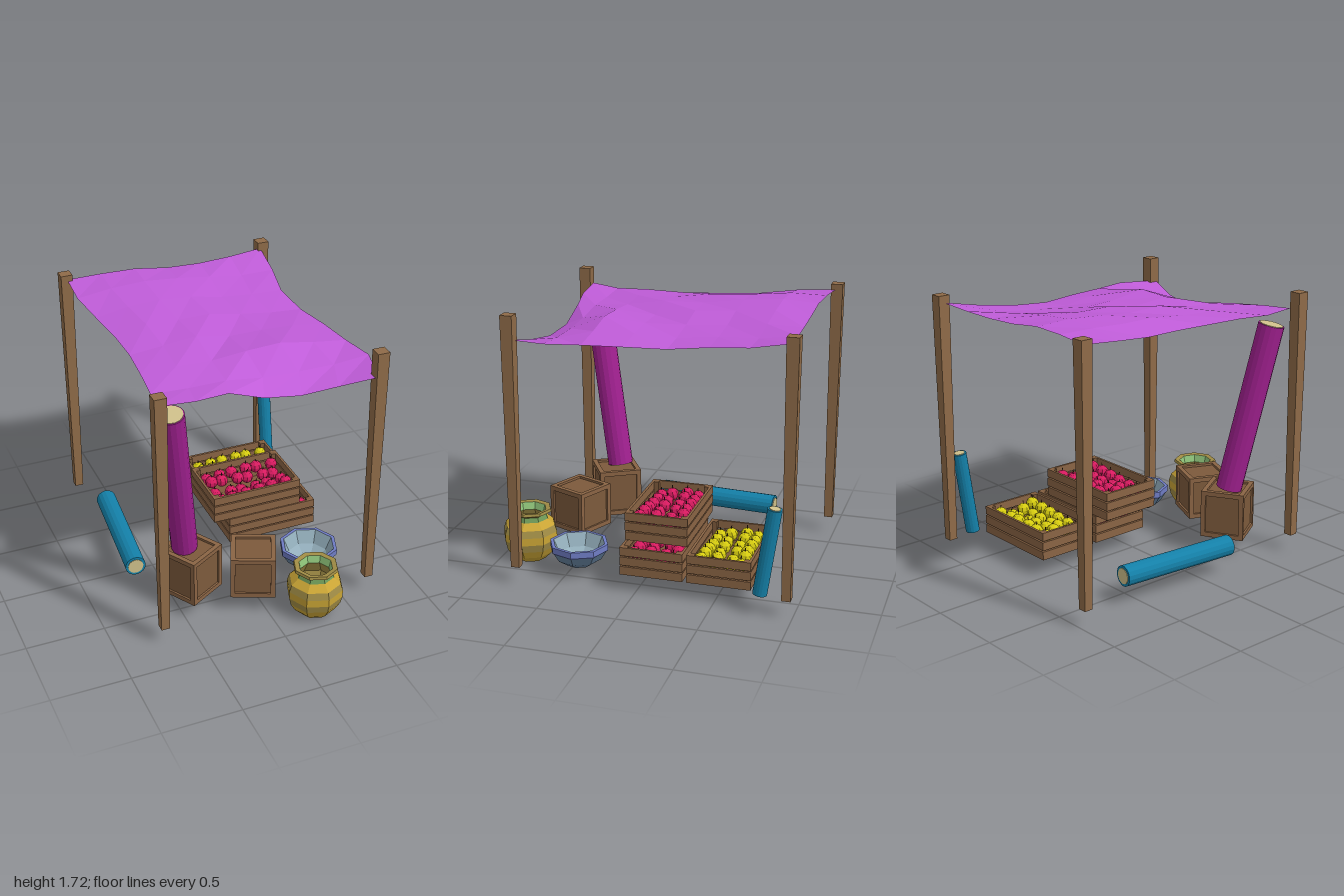
import * as THREE from 'three';

const mat = (color, side = THREE.FrontSide) =>
  new THREE.MeshStandardMaterial({ color, flatShading: true, side });
const WOOD = mat(0x8f6b48), SLAT = mat(0x8a6444), PANEL = mat(0x7d5a3c), TAN = mat(0xcfc08a);
const BLUE = mat(0x1480a8), MAGENTA = mat(0xa0208f), RED = mat(0xd81b60), YELLOW = mat(0xd6cc10);
const STEM = mat(0x4a3520), CLOTH = mat(0xbf5cd8, THREE.DoubleSide);

function add(parent, name, geo, material, x = 0, y = 0, z = 0) {
  const m = new THREE.Mesh(geo, material);
  m.name = name;
  m.position.set(x, y, z);
  parent.add(m);
  return m;
}
const box = (p, name, w, h, d, material, x, y, z) =>
  add(p, name, new THREE.BoxGeometry(w, h, d), material, x, y, z);

function group(parent, name, x = 0, y = 0, z = 0) {
  const g = new THREE.Group();
  g.name = name;
  g.position.set(x, y, z);
  parent.add(g);
  return g;
}

// Rolled fabric between two end centres, with a pale core showing at the ends
function roll(parent, name, a, b, r, core, material) {
  const p = new THREE.Vector3(...a), q = new THREE.Vector3(...b);
  const dir = q.clone().sub(p), len = dir.length();
  const g = group(parent, name);
  g.position.copy(p).add(q).multiplyScalar(0.5);
  g.quaternion.setFromUnitVectors(new THREE.Vector3(0, 1, 0), dir.normalize());
  add(g, 'fabric', new THREE.CylinderGeometry(r, r, len, 16), material);
  add(g, 'core', new THREE.CylinderGeometry(r * core, r * core, len + 0.008, 16), TAN);
}

// Open slatted crate, origin at the centre of its base
function slatCrate(parent, name, x, y, z) {
  const g = group(parent, name, x, y, z), W = 0.61, D = 0.4, H = 0.18, t = 0.016;
  const sh = 0.054, step = 0.063;
  for (let i = 0; i < 3; i++) {
    const sy = sh / 2 + i * step;
    for (const s of [-1, 1]) {
      box(g, 'longSlat', W, sh, t, SLAT, 0, sy, s * (D - t) / 2);
      box(g, 'shortSlat', t, sh, D - 2 * t, SLAT, s * (W - t) / 2, sy, 0);
    }
  }
  for (const sx of [-1, 1]) for (const sz of [-1, 1])
    box(g, 'cornerPost', 0.03, H, 0.03, PANEL, sx * (W / 2 - t - 0.015), H / 2, sz * (D / 2 - t - 0.015));
  box(g, 'floor', W - 2 * t, 0.015, D - 2 * t, PANEL, 0, 0.0085, 0);
  return g;
}

// Fruit layer with small uneven offsets
function fill(crate, material, top) {
  const geo = new THREE.SphereGeometry(0.042, 8, 6), stem = new THREE.CylinderGeometry(0.003, 0.004, 0.025, 4);
  for (let i = 0; i < 6; i++) for (let j = 0; j < 4; j++) {
    const k = i * 4 + j;
    const x = -0.23 + i * 0.092 + 0.012 * Math.sin(k * 2.3);
    const z = -0.132 + j * 0.088 + 0.01 * Math.cos(k * 3.1);
    const y = top - 0.06 + 0.018 * Math.sin(k * 1.7);
    add(crate, 'fruit', geo, material, x, y, z).rotation.set(0.3 * Math.sin(k), k, 0);
    add(crate, 'stem', stem, STEM, x, y + 0.047, z).rotation.z = 0.4 * Math.sin(k * 1.3);
  }
}

// Closed box with a raised frame around recessed panels, origin at base centre
function framedBox(parent, name, x, y, z, s, h, turn) {
  const g = group(parent, name, x, y, z), f = 0.03, e = (s - f) / 2, n = s - 0.026;
  g.rotation.y = turn;
  box(g, 'panels', n, h - 0.02, n, PANEL, 0, h / 2 - 0.005, 0);
  for (const a of [-1, 1]) for (const b of [-1, 1]) {
    box(g, 'upright', f, h, f, SLAT, a * e, h / 2, b * e);
    const ry = a > 0 ? h - f / 2 : f / 2;
    box(g, 'railX', s - 2 * f, f, f, SLAT, 0, ry, b * e);
    box(g, 'railZ', f, f, s - 2 * f, SLAT, b * e, ry, 0);
  }
}

// Eight-sided turned vessel; each band is [radius, y, radius, y, colour]
function vessel(parent, name, x, z, bands) {
  const g = group(parent, name, x, 0, z);
  for (const [r0, y0, r1, y1, c] of bands)
    add(g, 'band', new THREE.LatheGeometry(
      [new THREE.Vector2(r0, y0), new THREE.Vector2(r1, y1)], 8), mat(c, THREE.DoubleSide));
  g.rotation.y = 0.06;
}

// Sagging cloth: rows run back to front, columns from -x to +x
function canopy(parent) {
  const H = [
    [1.68, 1.69, 1.69, 1.66, 1.65, 1.655, 1.67],
    [1.66, 1.69, 1.70, 1.68, 1.65, 1.62, 1.62],
    [1.63, 1.67, 1.68, 1.66, 1.62, 1.60, 1.59],
    [1.62, 1.66, 1.65, 1.65, 1.61, 1.58, 1.565],
    [1.61, 1.63, 1.65, 1.61, 1.61, 1.60, 1.57],
    [1.61, 1.62, 1.61, 1.63, 1.64, 1.60, 1.57],
    [1.60, 1.59, 1.59, 1.56, 1.55, 1.55, 1.57],
    [1.62, 1.60, 1.58, 1.50, 1.48, 1.51, 1.56]];
  const rowZ = [-0.95, -0.7, -0.45, -0.2, 0.05, 0.3, 0.52, 0.7];
  const left = [-0.69, -0.7, -0.66, -0.63, -0.62, -0.64, -0.66, -0.68];
  const right = [0.67, 0.65, 0.6, 0.62, 0.66, 0.69, 0.73, 0.66];
  const front = [0.70, 0.695, 0.65, 0.65, 0.675, 0.71, 0.78];
  const geo = new THREE.PlaneGeometry(1, 1, 6, 7), p = geo.attributes.position;
  for (let r = 0; r < 8; r++) for (let c = 0; c < 7; c++) {
    const z = r === 7 ? front[c] : rowZ[r] + (r === 0 ? 0.03 * Math.sin(c * Math.PI / 6) : 0);
    p.setXYZ(r * 7 + c, left[r] + (right[r] - left[r]) * c / 6, H[r][c], z);
  }
  geo.computeVertexNormals();
  add(parent, 'canopy', geo, CLOTH);
}

export function createModel() {
  const stall = new THREE.Group();
  stall.name = 'marketStall';

  // Tapered square posts
  for (const x of [-0.698, 0.68]) for (const z of [-0.96, 0.755])
    add(stall, 'post', new THREE.CylinderGeometry(0.054, 0.039, 1.61, 4), WOOD, x, 0.915, z)
      .rotation.y = Math.PI / 4;
  canopy(stall);

  // Fabric rolls
  roll(stall, 'tallRoll', [-0.44, 0.435, 0.44], [-0.585, 1.51, 0.635], 0.083, 0.9, MAGENTA);
  roll(stall, 'floorRoll', [-0.61, 0.18, -0.6], [-0.682, 0.18, 0.2], 0.066, 0.75, BLUE);
  roll(stall, 'leaningRoll', [0.675, 0.125, -0.795], [0.675, 0.675, -0.875], 0.045, 0.75, BLUE);

  // Fruit crates
  fill(slatCrate(stall, 'lowerCrate', 0.315, 0.11, -0.1), RED, 0.165);
  fill(slatCrate(stall, 'upperCrate', 0.205, 0.296, -0.1), RED, 0.18);
  fill(slatCrate(stall, 'backCrate', 0.315, 0.11, -0.525), YELLOW, 0.18);

  // Closed boxes
  framedBox(stall, 'rollBox', -0.41, 0.12, 0.46, 0.28, 0.31, 0.53);
  framedBox(stall, 'smallBox', -0.04, 0.125, 0.588, 0.28, 0.282, -0.41);

  // Pot: banded body, green neck, flared rim and inside
  const G = 0xc9a435, O = 0xa08c45;
  vessel(stall, 'pot', 0.28, 0.82, [
    [0, 0, 0.1, 0, O], [0.1, 0, 0.14, 0.04, G], [0.14, 0.04, 0.168, 0.09, G],
    [0.168, 0.09, 0.18, 0.14, O], [0.18, 0.14, 0.18, 0.19, G], [0.18, 0.19, 0.165, 0.235, O],
    [0.165, 0.235, 0.12, 0.275, G], [0.12, 0.275, 0.108, 0.305, 0x6f9a58],
    [0.108, 0.305, 0.145, 0.325, O], [0.145, 0.325, 0.14, 0.343, O],
    [0.14, 0.343, 0.108, 0.338, O], [0.108, 0.338, 0.095, 0.29, 0x8fc47a],
    [0.095, 0.29, 0.14, 0.2, O], [0.14, 0.2, 0.1, 0.05, O], [0.1, 0.05, 0, 0.04, O]]);

  // Bowl with a blue rim
  const S = 0x64809c, R = 0x6f7cc4;
  vessel(stall, 'bowl', 0.42, 0.435, [
    [0, 0.06, 0.085, 0.06, S], [0.085, 0.06, 0.145, 0.1, S], [0.145, 0.1, 0.178, 0.155, S],
    [0.178, 0.155, 0.19, 0.165, R], [0.19, 0.165, 0.19, 0.205, R], [0.19, 0.205, 0.168, 0.205, R],
    [0.168, 0.205, 0.13, 0.12, 0x93aebb], [0.13, 0.12, 0.08, 0.08, 0x93aebb],
    [0.08, 0.08, 0, 0.075, 0x93aebb]]);

  return stall;
}
